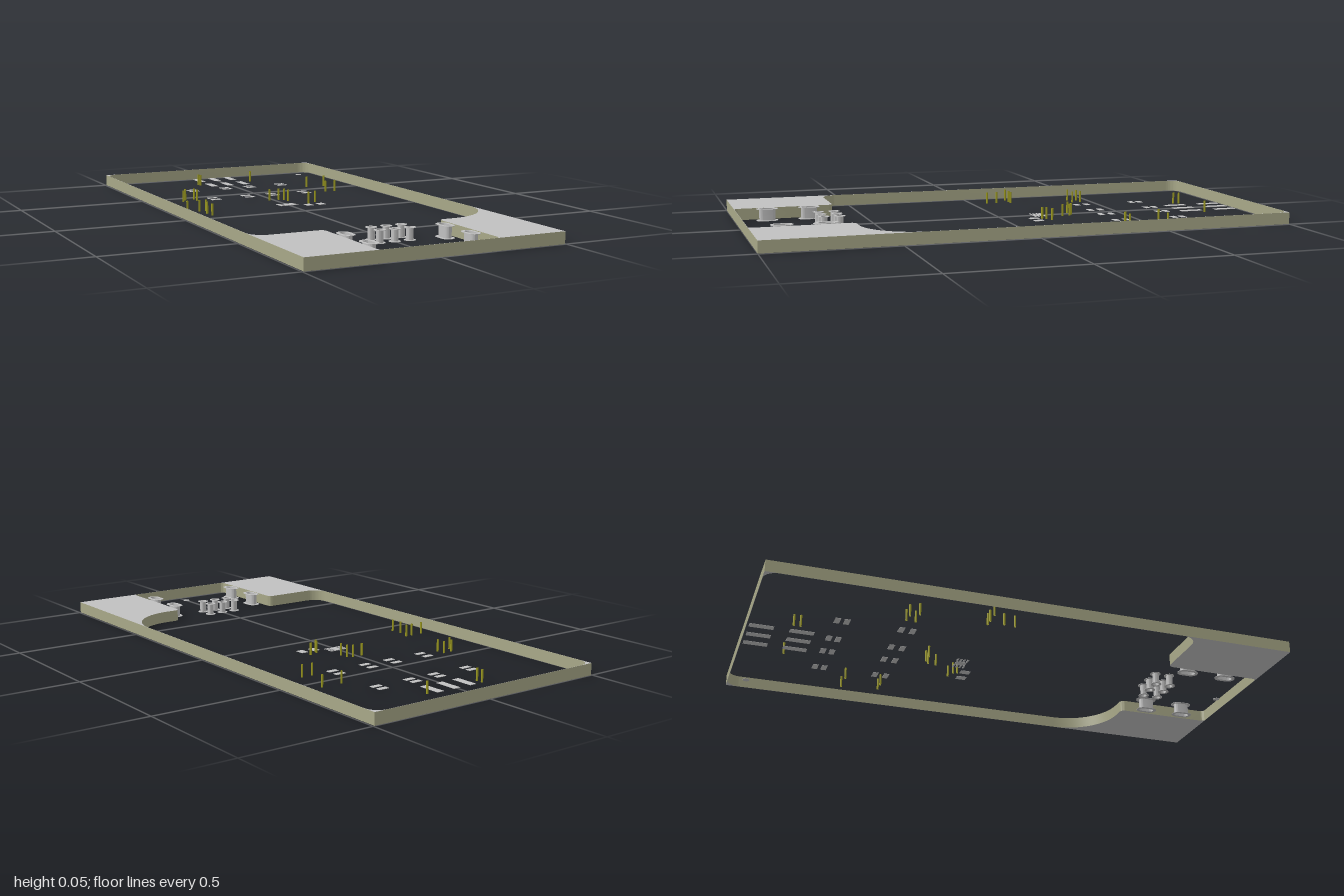
import * as THREE from 'three';
import { toCreasedNormals } from 'three/addons/utils/BufferGeometryUtils.js';

const H = 0.046;   // overall height
const PAD = 0.0015; // copper thickness

export function createModel() {
  const model = new THREE.Group();
  const silver = new THREE.MeshStandardMaterial({ color: 0xc0c0c0 });
  silver.name = 'silver';
  const olive = new THREE.MeshStandardMaterial({ color: 0xa8a888 });
  olive.name = 'oliveEdge';
  const gold = new THREE.MeshStandardMaterial({ color: 0x9c9a20, side: THREE.DoubleSide });
  gold.name = 'goldPlating';

  const add = (name, geo, mat, x = 0, y = 0, z = 0, parent = model) => {
    const mesh = new THREE.Mesh(geo, mat);
    mesh.name = name;
    mesh.position.set(x, y, z);
    parent.add(mesh);
    return mesh;
  };
  // Extrude a plan shape (x, z) upwards from y = 0
  const slab = (shape, height, segments = 12) => {
    const geo = new THREE.ExtrudeGeometry(shape, { depth: height, bevelEnabled: false, curveSegments: segments });
    geo.rotateX(Math.PI / 2).translate(0, height, 0);
    return toCreasedNormals(geo, 0.6);
  };
  const group = (name) => {
    const g = new THREE.Group();
    g.name = name;
    model.add(g);
    return g;
  };

  // Panel frame: outer rectangle with the board outline cut out of it
  const X = 0.495, e = 0.001, xi = X - e, zi = 1 - e;
  const frame = new THREE.Shape();
  frame.moveTo(-X, -1).lineTo(X, -1).lineTo(X, 1).lineTo(-X, 1).closePath();
  const cut = new THREE.Path();
  const q = Math.PI / 2;
  cut.moveTo(-xi + 0.05, -zi);
  cut.lineTo(xi - 0.05, -zi);
  cut.absarc(xi - 0.05, -zi + 0.05, 0.05, -q, 0, false);
  cut.lineTo(xi, 0.41);
  cut.absarc(xi - 0.205, 0.41, 0.205, 0, q, false);
  cut.lineTo(0.25, 0.615);
  cut.absarc(0.25, 0.635, 0.02, -q, -2 * q, true);
  cut.lineTo(0.23, zi - 0.015);
  cut.absarc(0.215, zi - 0.015, 0.015, 0, q, false);
  cut.lineTo(-0.215, zi);
  cut.absarc(-0.215, zi - 0.015, 0.015, q, 2 * q, false);
  cut.lineTo(-0.23, 0.635);
  cut.absarc(-0.25, 0.635, 0.02, 0, -q, true);
  cut.lineTo(-xi + 0.06, 0.615);
  cut.absarc(-xi + 0.06, 0.555, 0.06, q, 2 * q, false);
  cut.lineTo(-xi, -zi + 0.05);
  cut.absarc(-xi + 0.05, -zi + 0.05, 0.05, 2 * q, 3 * q, false);
  frame.holes.push(cut);
  add('panelFrame', slab(frame, H - 0.0015), [silver, olive], 0, 0.0005, 0);

  // Flat solder pads on the underside
  const pads = group('solderPads');
  const pad = (name, x, z, w, d) =>
    add(name, new THREE.BoxGeometry(w, PAD, d), silver, x, PAD / 2, z, pads);
  for (const x of [-0.075, 0, 0.075])
    for (const z of [-0.945, -0.796]) pad('connectorPad', x, z, 0.028, 0.09);
  for (const x of [-0.21, -0.057, 0.057, 0.207])
    for (const z of [-0.692, -0.657, -0.453, -0.41]) pad('componentPad', x, z, 0.042, 0.021);
  for (const x of [0.075, 0.13]) pad('capacitorPad', x, -0.121, 0.028, 0.038);
  pad('chipCentrePad', 0, -0.162, 0.028, 0.042);
  for (const x of [-0.028, 0.028])
    for (let i = 0; i < 4; i++) pad('chipPinPad', x, -0.182 + i * 0.0133, 0.023, 0.007);
  for (const [x, z] of [[0.42, -0.93], [0, 0.94]])
    add('alignmentDot', new THREE.CylinderGeometry(0.013, 0.013, PAD, 20), silver, x, PAD / 2, z, pads);

  // Stadium outline, a circle when half = 0
  const stadium = (Type, r, half) => {
    const s = new Type();
    s.absarc(0, half, r, 0, Math.PI, false);
    s.absarc(0, -half, r, Math.PI, 2 * Math.PI, false);
    s.closePath();
    return s;
  };
  const ring = (outer, inner, half, height) => {
    const s = stadium(THREE.Shape, outer, half);
    s.holes.push(stadium(THREE.Path, inner, half));
    return slab(s, height);
  };
  // Plated hole: a barrel with a flange at each end
  const platedHole = (name, x, z, outer, inner, half) => {
    const g = group(name);
    g.position.set(x, 0, z);
    const flange = ring(outer, inner, half, PAD);
    add('lowerFlange', flange, silver, 0, 0, 0, g);
    add('upperFlange', flange, silver, 0, H - PAD, 0, g);
    add('barrel', ring(inner + 0.001, inner, half, H - 0.0005), silver, 0, 0.0002, 0, g);
  };
  for (const x of [-0.06, 0, 0.06])
    for (const z of [0.641, 0.701]) platedHole('pinHole', x, z, 0.021, 0.012, 0);
  for (const x of [-0.198, 0.195])
    for (const z of [0.714, 0.876]) platedHole('mountingSlot', x, z, 0.025, 0.013, 0.017);

  // Thin plated vias running through the board
  const vias = group('vias');
  const viaGeo = new THREE.CylinderGeometry(0.0042, 0.0042, H, 10, 1, true);
  const spots = [
    [-0.122, -0.835], [-0.122, -0.81], [0.127, -0.83], [0.28, -0.557], [0.364, -0.557],
    [-0.35, -0.42], [-0.33, -0.452], [-0.29, -0.455], [-0.29, -0.42], [0.298, -0.41], [0.342, -0.41],
    [-0.02, -0.295], [0.022, -0.295], [0.04, -0.282], [0.044, -0.25],
    [-0.43, -0.165], [-0.38, -0.165], [-0.352, -0.165], [-0.37, -0.108], [-0.366, -0.065],
    [0.095, -0.165], [0.13, -0.176], [0.088, -0.15],
  ];
  for (const [x, z] of spots) add('via', viaGeo, gold, x, H / 2, z, vias);

  return model;
}
